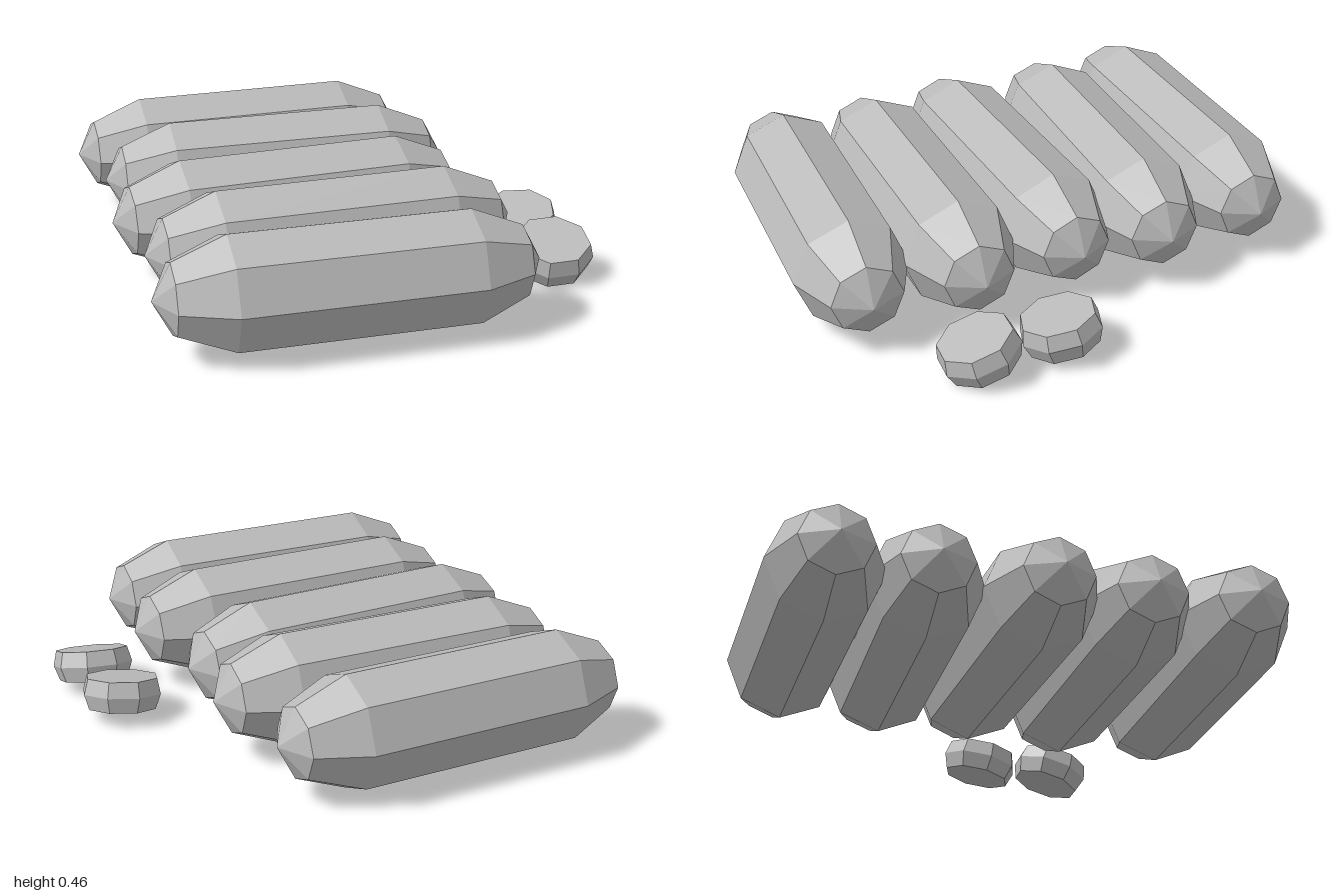
import * as THREE from 'three';

const SIDES = 8;

// Faceted solid of revolution from [radius, height] pairs, bottom to top
function turned(profile) {
  return new THREE.LatheGeometry(profile.map(([r, y]) => new THREE.Vector2(r, y)), SIDES);
}

export function createModel() {
  const group = new THREE.Group();
  const grey = new THREE.MeshStandardMaterial({ color: 0xbbbbbb });
  grey.flatShading = true;

  // Long rolls lying along x, side by side with slight turns
  const rollGeometry = turned([
    [0, -0.7], [0.136, -0.63], [0.217, -0.435],
    [0.217, 0.435], [0.136, 0.63], [0, 0.7],
  ]);
  rollGeometry.rotateZ(-Math.PI / 2);
  const rolls = [
    // x, y, z, yaw
    [-0.18, 0.237, -0.783, 0],
    [-0.13, 0.248, -0.395, -0.032],
    [-0.18, 0.237, -0.012, 0.032],
    [-0.13, 0.248, 0.378, 0],
    [-0.18, 0.237, 0.765, -0.032],
  ];
  rolls.forEach(([x, y, z, yaw], i) => {
    const roll = new THREE.Mesh(rollGeometry, grey);
    roll.name = `roll${i + 1}`;
    roll.position.set(x, y, z);
    roll.rotation.y = yaw;
    group.add(roll);
  });

  // Two small tilted discs with a bulging rim
  const discGeometry = turned([
    [0, -0.06], [0.136, -0.06], [0.157, 0], [0.142, 0.06], [0, 0.06],
  ]);
  const discs = [
    // x, y, z, tilt forward, spin, tilt sideways
    [0.717, 0.108, 0.157, 0.19, 0.06, 0.12],
    [0.717, 0.105, 0.473, 0.29, 0.3, 0.07],
  ];
  discs.forEach(([x, y, z, tilt, spin, lean], i) => {
    const disc = new THREE.Mesh(discGeometry, grey);
    disc.name = `disc${i + 1}`;
    disc.position.set(x, y, z);
    disc.rotation.set(tilt, spin, lean, 'ZXY');
    group.add(disc);
  });

  return group;
}
